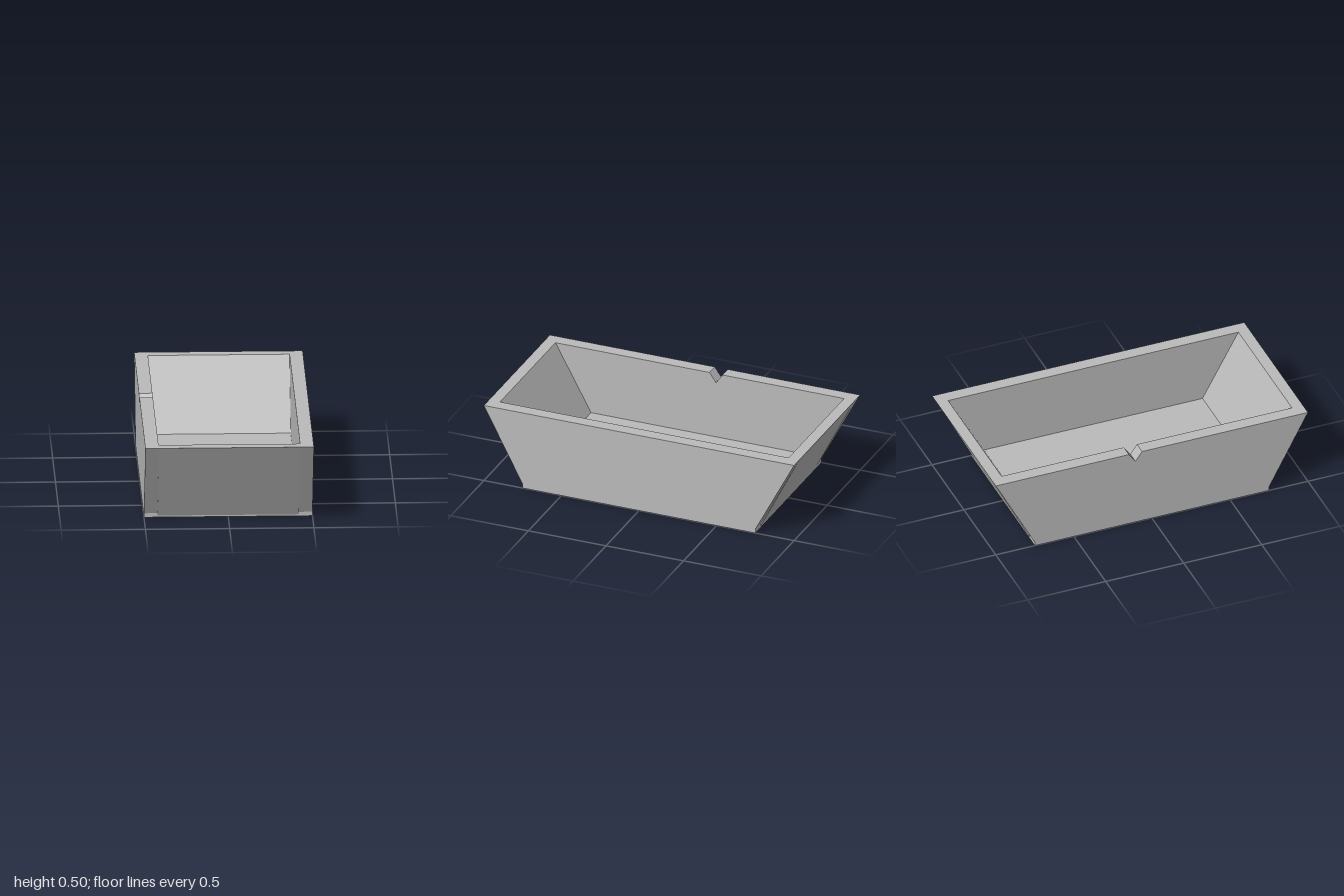
import * as THREE from 'three';

const HALF_WIDTH = 0.5;
const WALL = 0.08;

// Extrudes a (z, y) profile across x, from x0 to x0 + width.
function lengthwisePart(name, points, x0, width, material) {
  const shape = new THREE.Shape(points.map(([z, y]) => new THREE.Vector2(z, y)));
  const geometry = new THREE.ExtrudeGeometry(shape, { depth: width, bevelEnabled: false });
  geometry.rotateY(-Math.PI / 2);
  geometry.translate(x0 + width, 0, 0);
  const mesh = new THREE.Mesh(geometry, material);
  mesh.name = name;
  return mesh;
}

export function createModel() {
  const model = new THREE.Group();
  model.name = 'trough';
  const grey = new THREE.MeshStandardMaterial({ color: 0xbababa });
  grey.name = 'plain grey';

  // Side walls: a flared outline with a short upright foot at each end
  const foot = [[-1, 0.5], [-0.75, 0.025], [-0.75, 0], [0.75, 0], [0.75, 0.025], [1, 0.5]];
  // V-shaped notch cut into the rim of one side
  const notch = [[-0.063, 0.5], [-0.105, 0.44], [-0.147, 0.5]];
  model.add(lengthwisePart('leftWall', foot, HALF_WIDTH - WALL, WALL, grey));
  model.add(lengthwisePart('rightWallNotched', [...foot, ...notch], -HALF_WIDTH, WALL, grey));

  // Floor and sloping end walls as one channel between the sides
  const channel = [
    [-1, 0.5], [-0.75, 0.01], [-0.75, 0], [0.75, 0], [0.75, 0.01], [1, 0.5],
    [0.93, 0.5], [0.7, 0.08], [-0.7, 0.08], [-0.93, 0.5],
  ];
  const innerHalf = HALF_WIDTH - WALL;
  model.add(lengthwisePart('floorAndEndWalls', channel, -innerHalf, 2 * innerHalf, grey));

  return model;
}
